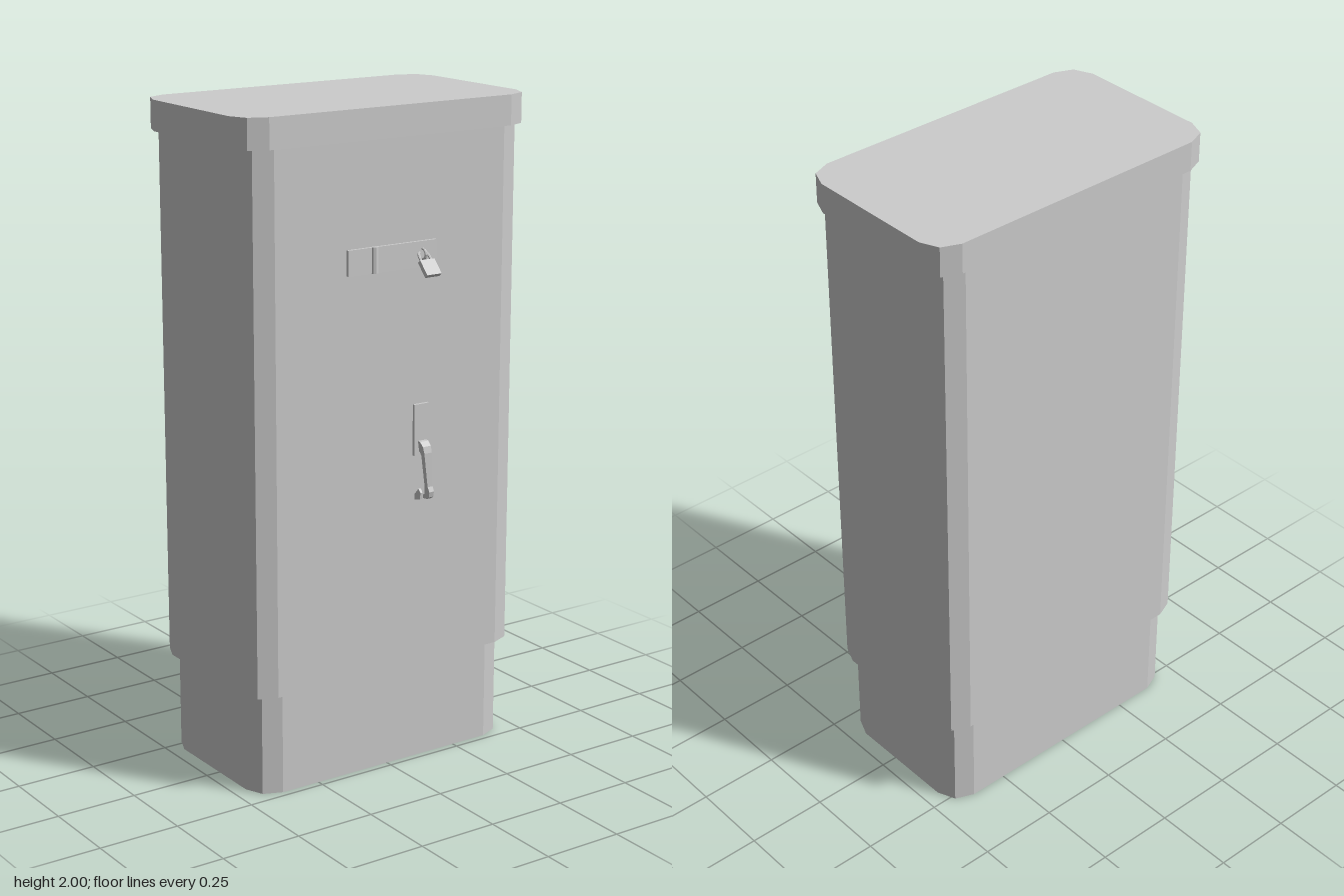
import * as THREE from 'three';

const metal = new THREE.MeshStandardMaterial({ color: 0xcccccc, flatShading: true });
metal.name = 'paintedMetal';

function add(parent, name, geometry, x = 0, y = 0, z = 0) {
  const mesh = new THREE.Mesh(geometry, metal);
  mesh.name = name;
  mesh.position.set(x, y, z);
  parent.add(mesh);
  return mesh;
}

// Upright prism whose corners are each cut by two facets
function prism(halfX, halfZ, height, r = 0.08) {
  const points = [];
  for (let corner = 0; corner < 4; corner++) {
    const sx = corner === 0 || corner === 3 ? 1 : -1;
    const sz = corner < 2 ? 1 : -1;
    for (let i = 0; i < 3; i++) {
      const a = (corner + i / 2) * Math.PI / 2;
      points.push(new THREE.Vector2(
        sx * (halfX - r) + r * Math.cos(a), sz * (halfZ - r) + r * Math.sin(a)));
    }
  }
  const geometry = new THREE.ExtrudeGeometry(new THREE.Shape(points), { depth: height, bevelEnabled: false });
  return geometry.rotateX(-Math.PI / 2);
}

// Side profile given as [z, y], extruded across x and centred
function sideProfile(points, width) {
  const shape = new THREE.Shape(points.map(([z, y]) => new THREE.Vector2(z, y)));
  const geometry = new THREE.ExtrudeGeometry(shape, { depth: width, bevelEnabled: false });
  return geometry.rotateY(-Math.PI / 2).translate(width / 2, 0, 0);
}

export function createModel() {
  const model = new THREE.Group();
  model.name = 'cabinet';

  // Stepped housing
  add(model, 'base', prism(0.453, 0.258, 0.31), -0.003, 0, -0.029);
  add(model, 'body', prism(0.478, 0.275, 1.6), -0.002, 0.31, -0.03);
  add(model, 'lid', prism(0.497, 0.284, 0.09), -0.002, 1.91, -0.032);

  // Hasp with its hinge and staple
  const hasp = new THREE.Group();
  hasp.name = 'hasp';
  model.add(hasp);
  add(hasp, 'haspPlate', new THREE.BoxGeometry(0.308, 0.075, 0.01), -0.006, 1.567, 0.249);
  add(hasp, 'haspHinge', new THREE.CylinderGeometry(0.012, 0.012, 0.076, 8), -0.069, 1.567, 0.25);
  add(hasp, 'haspStaple', new THREE.TorusGeometry(0.015, 0.004, 6, 12), 0.098, 1.567, 0.256)
    .rotation.y = Math.PI / 2;

  // Padlock hanging tilted away from the door
  const padlock = new THREE.Group();
  padlock.name = 'padlock';
  padlock.position.set(0.098, 1.531, 0.29);
  padlock.rotation.x = -0.75;
  model.add(padlock);
  add(padlock, 'padlockBody', new THREE.BoxGeometry(0.051, 0.052, 0.014));
  const bow = new THREE.CatmullRomCurve3([
    [-0.017, 0.02], [-0.017, 0.042], [-0.011, 0.056], [0, 0.061], [0.011, 0.056], [0.017, 0.042], [0.017, 0.02],
  ].map(([x, y]) => new THREE.Vector3(x, y, 0)));
  add(padlock, 'padlockShackle', new THREE.TubeGeometry(bow, 16, 0.004, 6));

  // Handle mount and slanted, tapering lever
  const handle = new THREE.Group();
  handle.name = 'handle';
  model.add(handle);
  add(handle, 'handlePlate', new THREE.BoxGeometry(0.052, 0.155, 0.01), 0.101, 1.043, 0.249);
  const lever = sideProfile([
    [0.248, 1.01], [0.264, 1.008], [0.276, 0.995], [0.28, 0.975], [0.278, 0.87], [0.284, 0.855],
    [0.28, 0.838], [0.268, 0.83], [0.249, 0.828], [0.249, 0.838], [0.259, 0.845],
    [0.263, 0.87], [0.263, 0.965], [0.258, 0.975], [0.248, 0.978],
  ], 0.03);
  const p = lever.attributes.position;
  for (let i = 0; i < p.count; i++) {
    const t = (1.01 - p.getY(i)) / 0.18;
    p.setX(i, p.getX(i) * (1 - 0.5 * t) + 0.103 + 0.017 * t);
  }
  lever.computeVertexNormals();
  add(handle, 'handleLever', lever);

  // Keeper tab beside the lever tip
  add(handle, 'keeperTab', sideProfile([[0.245, 0.828], [0.272, 0.835], [0.274, 0.855], [0.264, 0.866], [0.245, 0.845]], 0.008), 0.088);

  return model;
}
